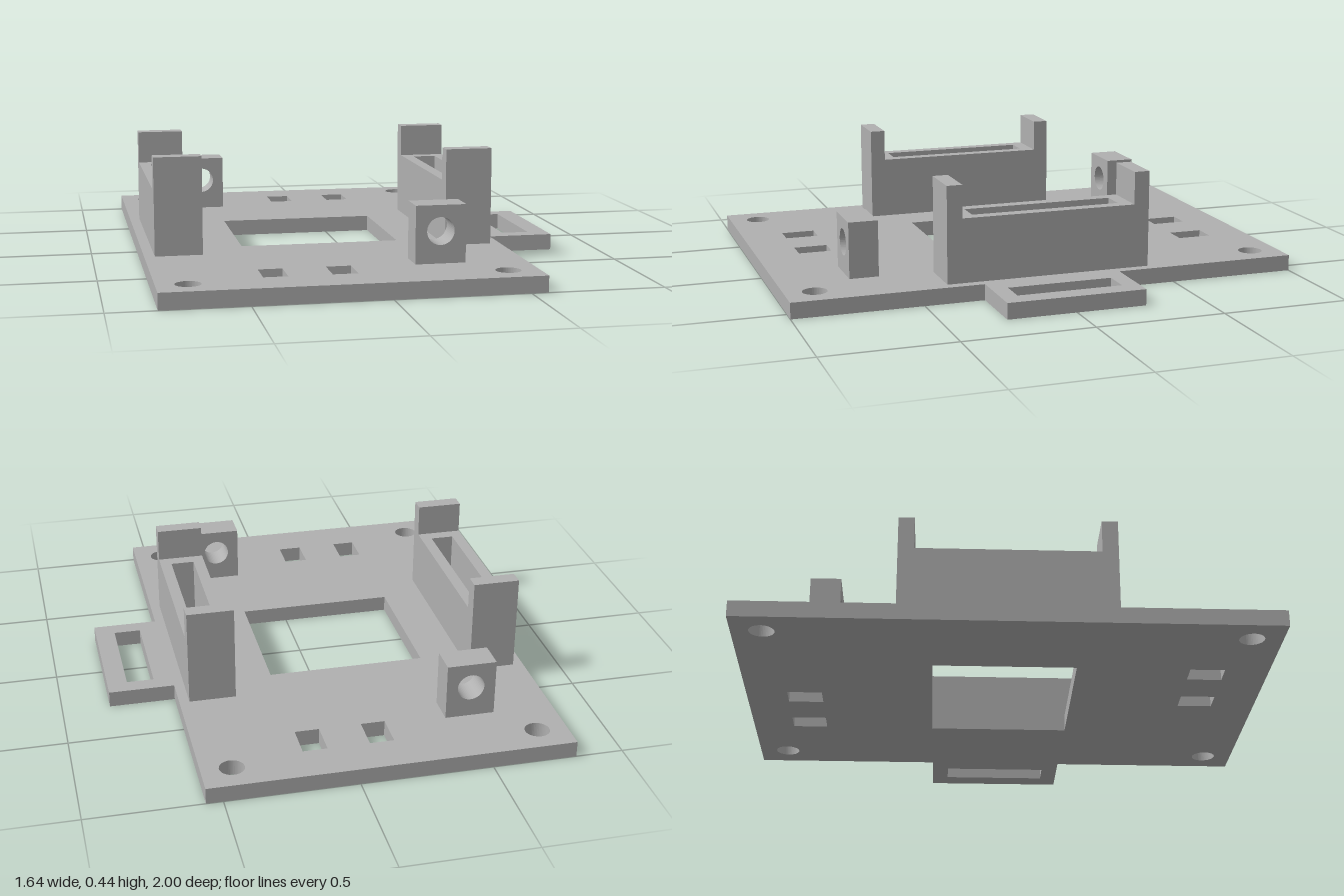
import * as THREE from 'three';

const PLATE = 0.062;

// Closed rectangle path between two corners
function rect(Type, x0, y0, x1, y1) {
  const p = new Type();
  p.moveTo(x0, y0);
  p.lineTo(x1, y0);
  p.lineTo(x1, y1);
  p.lineTo(x0, y1);
  p.closePath();
  return p;
}

function circle(x, y, r) {
  return new THREE.Path().absarc(x, y, r, 0, Math.PI * 2, true);
}

function extrude(shape, depth) {
  return new THREE.ExtrudeGeometry(shape, { depth, bevelEnabled: false, curveSegments: 24 });
}

// Extrude a plan outline (drawn as x, -z) upwards
function extrudeUp(shape, height) {
  return extrude(shape, height).rotateX(-Math.PI / 2);
}

export function createModel() {
  const model = new THREE.Group();
  model.name = 'mountingPlate';
  const grey = new THREE.MeshStandardMaterial({ color: 0xb0b0b0 });
  grey.name = 'grey';

  function add(name, geometry, x, y, z, parent = model) {
    const mesh = new THREE.Mesh(geometry, grey);
    mesh.name = name;
    mesh.position.set(x, y, z);
    parent.add(mesh);
    return mesh;
  }

  // Base plate with the strap tab on its left edge
  const outline = [
    [-0.82, -1], [0.563, -1], [0.563, -0.268], [0.817, -0.268],
    [0.817, 0.272], [0.563, 0.272], [0.563, 1], [-0.82, 1],
  ];
  const base = new THREE.Shape(outline.map(([x, y]) => new THREE.Vector2(x, y)));

  // Central window, strap slot and four small slots
  const openings = [
    [-0.435, -0.27, 0.18, 0.275],
    [0.635, -0.203, 0.74, 0.207],
    [-0.167, 0.705, -0.075, 0.84],
    [0.085, 0.705, 0.178, 0.84],
    [-0.435, -0.832, -0.345, -0.7],
    [-0.185, -0.832, -0.092, -0.7],
  ];
  for (const o of openings) base.holes.push(rect(THREE.Path, ...o));

  // Corner screw holes
  for (const x of [-0.705, 0.448])
    for (const y of [-0.885, 0.887]) base.holes.push(circle(x, y, 0.047));
  add('basePlate', extrudeUp(base, PLATE), 0, 0, 0);

  // Slotted side rails with a raised post at each end
  const railHalf = 0.404, railTop = 0.31, postTop = 0.437, postDepth = 0.06, width = 0.181;
  for (const [name, x] of [['rightRail', -0.69], ['leftRail', 0.434]]) {
    const rail = new THREE.Group();
    rail.name = name;
    rail.position.set(x, 0, -0.002);
    const plan = rect(THREE.Shape, -width / 2, -railHalf, width / 2, railHalf);
    plan.holes.push(rect(THREE.Path, -0.046, -0.293, 0.046, 0.293));
    add('slottedRail', extrudeUp(plan, railTop - PLATE), 0, PLATE, 0, rail);
    for (const s of [-1, 1]) {
      add('endPost', new THREE.BoxGeometry(width, postTop - railTop, postDepth),
        0, (postTop + railTop) / 2, s * (railHalf - postDepth / 2), rail);
    }
    model.add(rail);
  }

  // Upright lugs with a round hole through them
  const lugShape = rect(THREE.Shape, -0.095, 0, 0.095, 0.28 - PLATE);
  lugShape.holes.push(circle(0, 0.183 - PLATE, 0.052));
  const lug = extrude(lugShape, 0.114);
  add('backLug', lug, -0.492, PLATE, -0.733);
  add('frontLug', lug, 0.238, PLATE, 0.614);

  return model;
}
